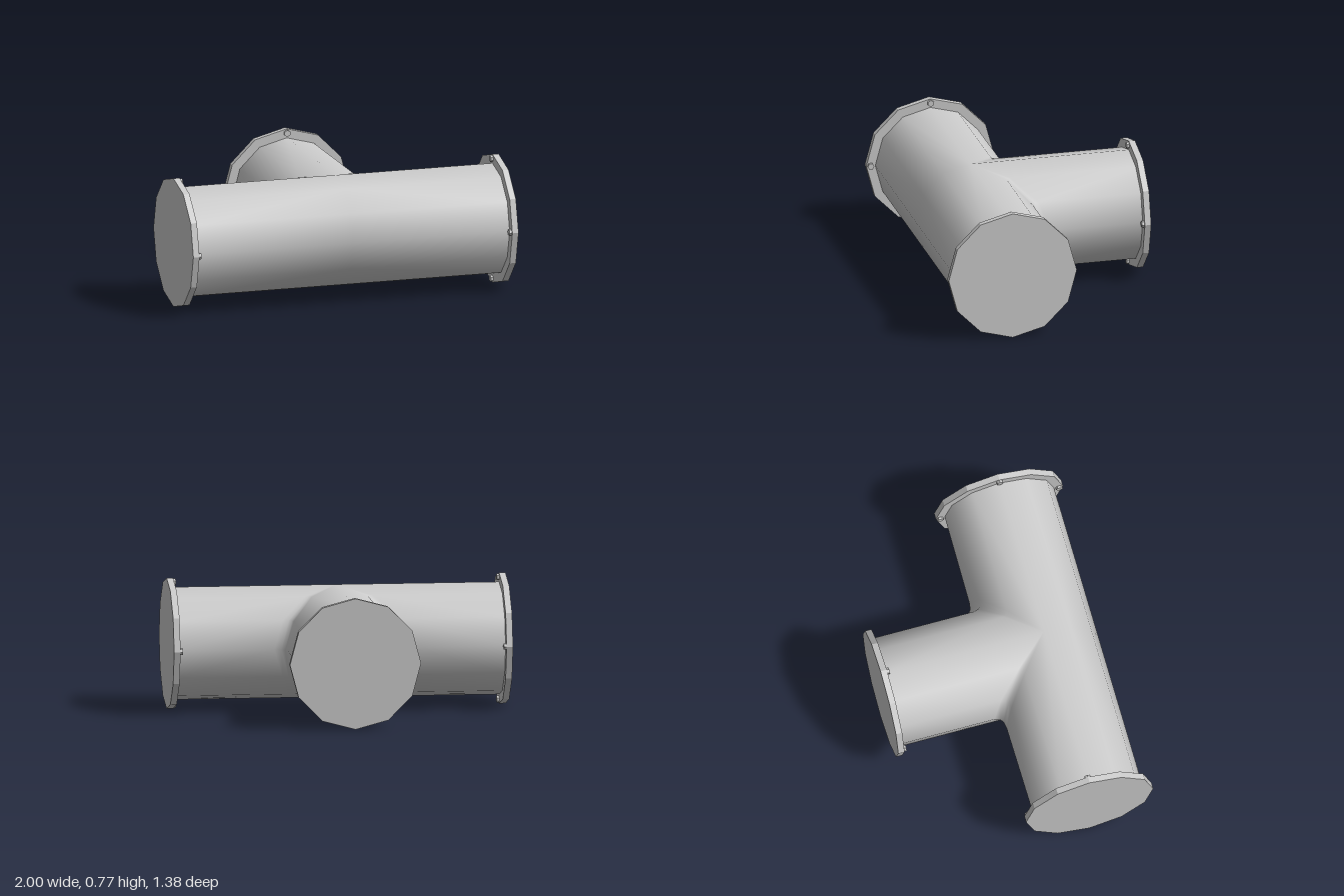
import * as THREE from 'three';
import { mergeVertices } from 'three/addons/utils/BufferGeometryUtils.js';

const R = 0.333;       // pipe radius
const FLANGE_R = 0.387;
const CY = 0.387;      // height of the pipe axes
const CZ = 0.303;      // z of the main pipe axis
const SIDES = 12;
const THICK = 0.038;

const smooth = new THREE.MeshStandardMaterial({ color: 0xcccccc, side: THREE.DoubleSide });
const flat = new THREE.MeshStandardMaterial({ color: 0xcccccc, flatShading: true });

// Back quarter: runs from the main pipe's end, round the fillet, out along the branch
function backPath(a) {
  const w = Math.sin(a), x = R * w, y = CY + R * Math.cos(a), z = CZ - R * w;
  return [
    [0.98, y, z],
    [x + 0.07 * w, y, z - 0.006 * w],
    [x + 0.03 * w, y, z - 0.013 * w],
    [x + 0.01 * w, y, z - 0.03 * w],
    [x, y, z - 0.06 * w],
    [x, y, -0.67],
  ];
}

// Front quarter: plain half of the main pipe
function frontPath(a) {
  const y = CY + R * Math.cos(a), z = CZ + R * Math.sin(a);
  return [[0.98, y, z], [0, y, z]];
}

// Tee body: strips between neighbouring paths, mirrored in x and welded
function teeGeometry() {
  const pos = [];
  const tri = (p, q, r, flip) => {
    for (const v of flip ? [p, r, q] : [p, q, r]) pos.push(...v);
    for (const v of flip ? [p, q, r] : [p, r, q]) pos.push(-v[0], v[1], v[2]);
  };
  for (const [path, flip] of [[backPath, false], [frontPath, true]]) {
    for (let i = 0; i < SIDES / 2; i++) {
      const A = path((i * 2 * Math.PI) / SIDES);
      const B = path(((i + 1) * 2 * Math.PI) / SIDES);
      for (let j = 0; j < A.length - 1; j++) {
        tri(A[j], B[j], A[j + 1], flip);
        tri(B[j], B[j + 1], A[j + 1], flip);
      }
    }
  }
  const g = new THREE.BufferGeometry();
  g.setAttribute('position', new THREE.Float32BufferAttribute(pos, 3));
  const welded = mergeVertices(g, 1e-4);
  welded.computeVertexNormals();
  return welded;
}

// Blind flange with its outer face at local y = 0 and bolts on the pipe side
function flange(name) {
  const group = new THREE.Group();
  group.name = name;
  const plate = new THREE.Mesh(new THREE.CylinderGeometry(FLANGE_R, FLANGE_R, THICK, SIDES), flat);
  plate.name = 'flangePlate';
  plate.position.y = -THICK / 2;
  group.add(plate);
  for (let i = 0; i < 4; i++) {
    const a = (i * Math.PI) / 2;
    const bolt = new THREE.Mesh(new THREE.CylinderGeometry(0.02, 0.02, 0.03, 6), flat);
    bolt.name = 'bolt';
    bolt.position.set(0.362 * Math.sin(a), -THICK, 0.362 * Math.cos(a));
    bolt.rotation.y = a;
    group.add(bolt);
  }
  return group;
}

export function createModel() {
  const model = new THREE.Group();
  model.name = 'pipeTee';

  const body = new THREE.Mesh(teeGeometry(), smooth);
  body.name = 'teeBody';
  model.add(body);

  // Flanges on both main ends
  for (const s of [1, -1]) {
    const end = flange(s > 0 ? 'leftFlange' : 'rightFlange');
    end.rotation.z = (-s * Math.PI) / 2;
    end.position.set(s, CY, CZ);
    model.add(end);
  }

  // Flange on the branch
  const back = flange('branchFlange');
  back.rotation.x = -Math.PI / 2;
  back.position.set(0, CY, -0.69);
  model.add(back);

  return model;
}
